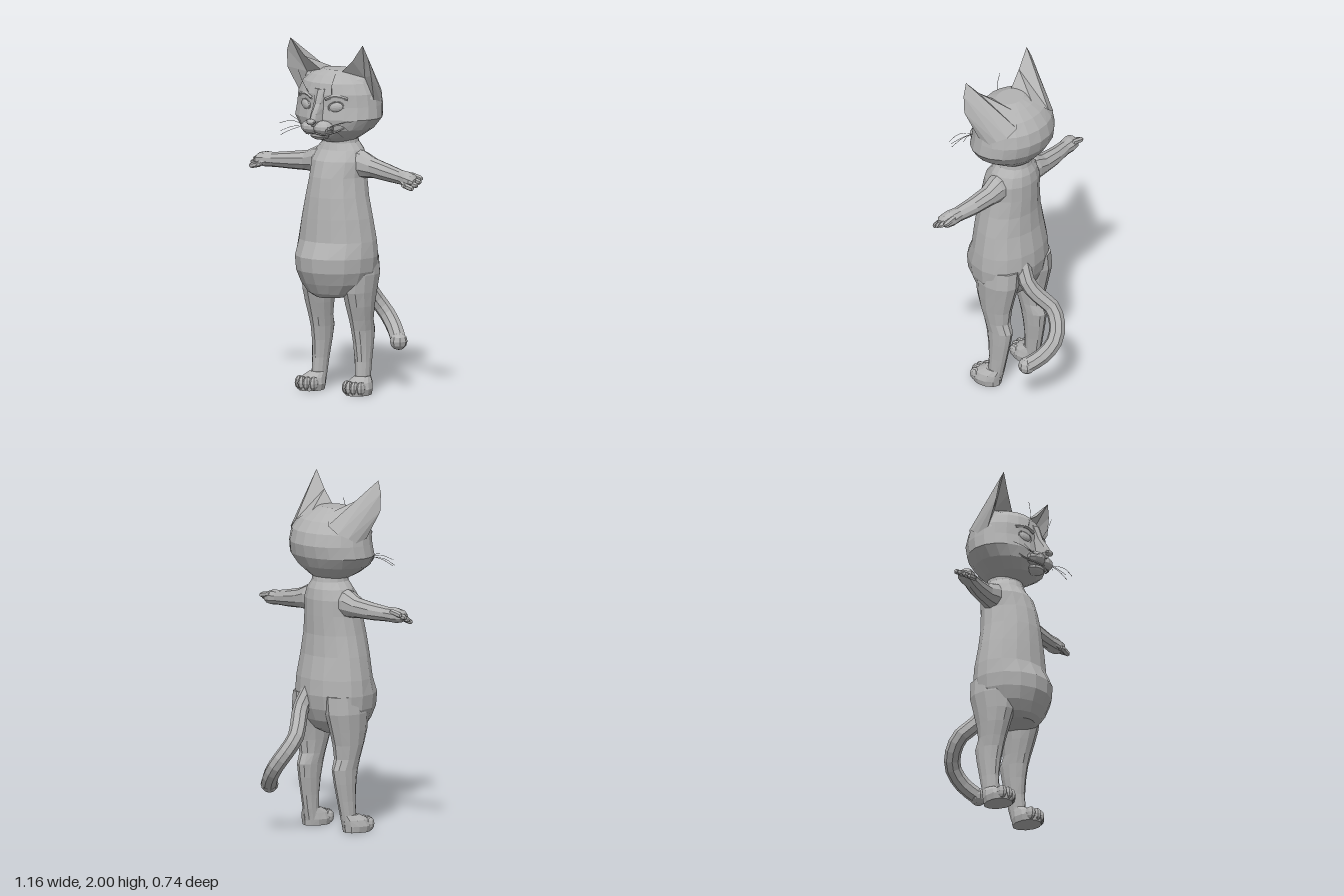
import * as THREE from 'three';

const V = (x, y, z) => new THREE.Vector3(x, y, z);
const fur = new THREE.MeshStandardMaterial({ color: 0xb3b3b3, flatShading: true, side: THREE.DoubleSide });
fur.name = 'grey fur';

function part(parent, name, geometry) {
  const mesh = new THREE.Mesh(geometry, fur);
  mesh.name = name;
  parent.add(mesh);
  return mesh;
}

// Horizontal ring: widest at depth zc, reaching zf in front and zb behind
function ringY([y, w, zc, zf, zb, x = 0], n) {
  return Array.from({ length: n }, (_, i) => {
    const a = (i / n) * Math.PI * 2, c = Math.cos(a);
    return V(x + w * Math.sin(a), y, zc + c * (c > 0 ? zf - zc : zc - zb));
  });
}

// Ring across a limb that runs along x
function ringX([x, cy, ry, cz, rz], n) {
  return Array.from({ length: n }, (_, i) => {
    const a = (i / n) * Math.PI * 2;
    return V(x, cy + ry * Math.cos(a), cz + rz * Math.sin(a));
  });
}

// Skin over successive rings, closed at both ends
function loft(rings) {
  const n = rings[0].length, pos = [], idx = [];
  rings.flat().forEach(p => pos.push(p.x, p.y, p.z));
  for (let r = 0; r < rings.length - 1; r++) {
    for (let i = 0; i < n; i++) {
      const a = r * n + i, b = r * n + (i + 1) % n;
      idx.push(a, b, b + n, a, b + n, a + n);
    }
  }
  [0, rings.length - 1].forEach((r, end) => {
    const c = rings[r].reduce((s, p) => s.add(p), V(0, 0, 0)).divideScalar(n);
    const k = pos.length / 3;
    pos.push(c.x, c.y, c.z);
    for (let i = 0; i < n; i++) {
      const a = r * n + i, b = r * n + (i + 1) % n;
      idx.push(...(end ? [k, a, b] : [k, b, a]));
    }
  });
  return surface(pos, idx);
}

function surface(pos, idx) {
  const g = new THREE.BufferGeometry();
  g.setAttribute('position', new THREE.Float32BufferAttribute(pos, 3));
  g.setIndex(idx);
  g.computeVertexNormals();
  return g;
}

function blob(parent, name, [x, y, z], [rx, ry, rz], w = 10, h = 7) {
  const m = part(parent, name, new THREE.SphereGeometry(1, w, h));
  m.position.set(x, y, z);
  m.scale.set(rx, ry, rz);
  return m;
}

function tube(parent, name, pts, radius, seg = 8, sides = 4) {
  const curve = new THREE.CatmullRomCurve3(pts.map(p => V(...p)));
  return part(parent, name, new THREE.TubeGeometry(curve, seg, radius, sides));
}

// Limb segment between two points with rounded ends
function finger(parent, name, from, to, r) {
  const a = V(...from), b = V(...to), d = b.clone().sub(a);
  const m = part(parent, name, new THREE.CapsuleGeometry(r, d.length(), 2, 6));
  m.position.copy(a).add(b).multiplyScalar(0.5);
  m.quaternion.setFromUnitVectors(V(0, 1, 0), d.normalize());
}

// Cupped ear: rim loop, sloping back shell and hollow front
function earGeometry() {
  const rim = [
    [0.075, 1.83, 0.13], [0.165, 1.90, 0.155], [0.25, 2.0, 0.175], [0.28, 1.93, 0.165],
    [0.29, 1.83, 0.15], [0.255, 1.68, 0.075], [0.20, 1.70, 0.16], [0.12, 1.77, 0.195]];
  const back = [
    [0.03, 1.825, 0.04], [0.07, 1.815, -0.03], [0.13, 1.76, -0.105],
    [0.19, 1.715, -0.085], [0.23, 1.69, -0.04], [0.245, 1.66, 0]];
  const pos = [...rim, ...back, [0.2, 1.80, 0.085]].flat(), idx = [];
  for (let i = 0; i < 5; i++) idx.push(i, i + 1, 9 + i, i, 9 + i, 8 + i);
  for (let i = 0; i < 8; i++) idx.push(14, (i + 1) % 8, i);
  return surface(pos, idx);
}

function buildHead() {
  const head = new THREE.Group();
  head.name = 'head';
  const skull = [
    [1.43, 0.085, 0.05, 0.16, -0.04], [1.46, 0.14, 0.06, 0.225, -0.075],
    [1.51, 0.22, 0.07, 0.255, -0.12], [1.57, 0.265, 0.06, 0.262, -0.155],
    [1.64, 0.257, 0.05, 0.25, -0.17], [1.71, 0.247, 0.05, 0.25, -0.152],
    [1.77, 0.215, 0.05, 0.235, -0.105], [1.81, 0.165, 0.06, 0.20, -0.05],
    [1.835, 0.09, 0.07, 0.14, 0]];
  part(head, 'skull', loft(skull.map(r => ringY(r, 20))));

  // Nose bridge, nose, chin
  const bridge = [
    [1.535, 0.018, 0.22, 0.32, 0.15], [1.565, 0.034, 0.22, 0.337, 0.15],
    [1.60, 0.032, 0.22, 0.322, 0.15], [1.66, 0.038, 0.2, 0.283, 0.15],
    [1.74, 0.055, 0.18, 0.256, 0.12]];
  part(head, 'noseBridge', loft(bridge.map(r => ringY(r, 10))));
  blob(head, 'nose', [0, 1.562, 0.325], [0.03, 0.017, 0.02]);
  blob(head, 'chin', [0, 1.48, 0.235], [0.06, 0.03, 0.05]);

  for (const s of [1, -1]) {
    const side = new THREE.Group();
    side.name = s > 0 ? 'leftFace' : 'rightFace';
    side.scale.x = s;
    head.add(side);
    part(side, 'ear', earGeometry());
    blob(side, 'muzzlePad', [0.042, 1.525, 0.262], [0.062, 0.04, 0.055]);
    // Almond eye with a lid around it
    const eye = new THREE.Group();
    eye.name = 'eye';
    eye.position.set(0.105, 1.642, 0.226);
    eye.rotation.set(0, 0.4, 0.2);
    side.add(eye);
    blob(eye, 'eyeball', [0, 0, 0], [0.042, 0.028, 0.018], 12, 8);
    const lid = part(eye, 'eyelid', new THREE.TorusGeometry(0.044, 0.006, 5, 14));
    lid.scale.y = 0.72;
    tube(side, 'brow', [[0.045, 1.685, 0.25], [0.10, 1.705, 0.233], [0.165, 1.69, 0.2]], 0.009, 6, 5);
    tube(side, 'mouthLine', [[0, 1.495, 0.29], [0.06, 1.488, 0.285], [0.115, 1.505, 0.24], [0.15, 1.525, 0.215]], 0.005);
    // Whiskers
    [[[0.17, 1.55, 0.275], [0.24, 1.53, 0.30]], [[0.15, 1.52, 0.30], [0.22, 1.49, 0.315]],
     [[0.12, 1.51, 0.355], [0.175, 1.48, 0.373]], [[0.16, 1.56, 0.25], [0.22, 1.57, 0.22]]]
      .forEach(w => tube(side, 'whisker', [[0.08, 1.53, 0.28], ...w], 0.0015, 6, 3));
    tube(side, 'browWhisker', [[0.08, 1.71, 0.235], [0.1, 1.77, 0.262], [0.13, 1.84, 0.268]], 0.0015, 6, 3);
  }
  return head;
}

function buildArm(lift) {
  const arm = new THREE.Group();
  const rings = [
    [0.08, 1.305, 0.085, 0.045, 0.075], [0.16, 1.30, 0.078, 0.04, 0.068],
    [0.23, 1.285, 0.058, 0.037, 0.056], [0.34, 1.268, 0.05, 0.048, 0.05],
    [0.44, 1.255, 0.042, 0.066, 0.042], [0.49, 1.25, 0.044, 0.075, 0.05],
    [0.53, 1.245, 0.036, 0.082, 0.047], [0.55, 1.24, 0.018, 0.085, 0.03]];
  const rise = x => lift * Math.max(0, (x - 0.2) / 0.35);
  part(arm, 'armSkin', loft(rings.map(([x, cy, ...r]) => ringX([x, cy + rise(x), ...r], 10))));
  for (let i = 0; i < 4; i++) {
    const y = 1.27 - i * 0.016 + lift, z = 0.042 + i * 0.028;
    finger(arm, 'finger', [0.50, y, z], [0.568 - Math.abs(i - 1.4) * 0.01, y - 0.012, z + 0.002], 0.016);
  }
  finger(arm, 'thumb', [0.47, 1.24 + lift, 0.10], [0.515, 1.22 + lift, 0.128], 0.015);
  return arm;
}

function buildLeg() {
  const leg = new THREE.Group();
  const rings = [
    [0.03, 0.045, 0.045, 0.10, 0.0, 0.155], [0.10, 0.042, 0.035, 0.085, -0.018, 0.15],
    [0.18, 0.045, 0.03, 0.08, -0.035, 0.147], [0.28, 0.052, 0.02, 0.09, -0.055, 0.143],
    [0.36, 0.057, 0.02, 0.105, -0.068, 0.14], [0.42, 0.064, 0.035, 0.12, -0.045, 0.14],
    [0.50, 0.076, 0.05, 0.145, -0.055, 0.14], [0.58, 0.086, 0.05, 0.17, -0.075, 0.139],
    [0.68, 0.10, 0.04, 0.18, -0.1, 0.135], [0.78, 0.10, 0.04, 0.17, -0.1, 0.125]];
  part(leg, 'legSkin', loft(rings.map(r => ringY(r, 12))));
  const foot = [
    [0, 0.068, 0.10, 0.175, 0.002, 0.163], [0.035, 0.076, 0.10, 0.18, -0.002, 0.163],
    [0.07, 0.065, 0.09, 0.16, -0.008, 0.162], [0.1, 0.043, 0.05, 0.10, -0.012, 0.155]];
  part(leg, 'foot', loft(foot.map(r => ringY(r, 12))));
  [0.113, 0.146, 0.18, 0.213].forEach((x, i) =>
    blob(leg, 'toe', [x, 0.042, i % 3 ? 0.158 : 0.14], [0.023, 0.04, 0.033], 8, 6));
  return leg;
}

export function createModel() {
  const cat = new THREE.Group();
  cat.name = 'standingCat';

  // Torso with a round belly, narrowing into the neck
  const torso = [
    [0.55, 0.09, 0.12, 0.22, 0.01], [0.575, 0.15, 0.10, 0.25, -0.03],
    [0.63, 0.205, 0.07, 0.28, -0.075], [0.70, 0.235, 0.06, 0.31, -0.105],
    [0.78, 0.243, 0.06, 0.315, -0.12], [0.87, 0.235, 0.06, 0.272, -0.115],
    [1.00, 0.212, 0.06, 0.262, -0.092], [1.12, 0.185, 0.06, 0.25, -0.085],
    [1.23, 0.165, 0.05, 0.23, -0.09], [1.32, 0.165, 0.05, 0.20, -0.092],
    [1.38, 0.14, 0.045, 0.155, -0.083], [1.42, 0.105, 0.045, 0.14, -0.065],
    [1.48, 0.095, 0.045, 0.14, -0.055]];
  part(cat, 'torso', loft(torso.map(r => ringY(r, 16))));
  cat.add(buildHead());

  for (const s of [1, -1]) {
    const name = s > 0 ? 'left' : 'right';
    const arm = buildArm(s > 0 ? 0 : 0.03), leg = buildLeg();
    arm.name = name + 'Arm';
    leg.name = name + 'Leg';
    arm.scale.x = leg.scale.x = s;
    cat.add(arm, leg);
  }

  // Curled tail with a blunt tip
  tube(cat, 'tail', [
    [0.05, 0.80, -0.07], [0.065, 0.70, -0.125], [0.03, 0.62, -0.18], [-0.01, 0.555, -0.24],
    [0.005, 0.48, -0.295], [0.055, 0.40, -0.325], [0.13, 0.32, -0.3], [0.195, 0.265, -0.245]], 0.046, 14, 8);
  blob(cat, 'tailTip', [0.197, 0.263, -0.243], [0.05, 0.05, 0.05], 8, 6);
  return cat;
}
